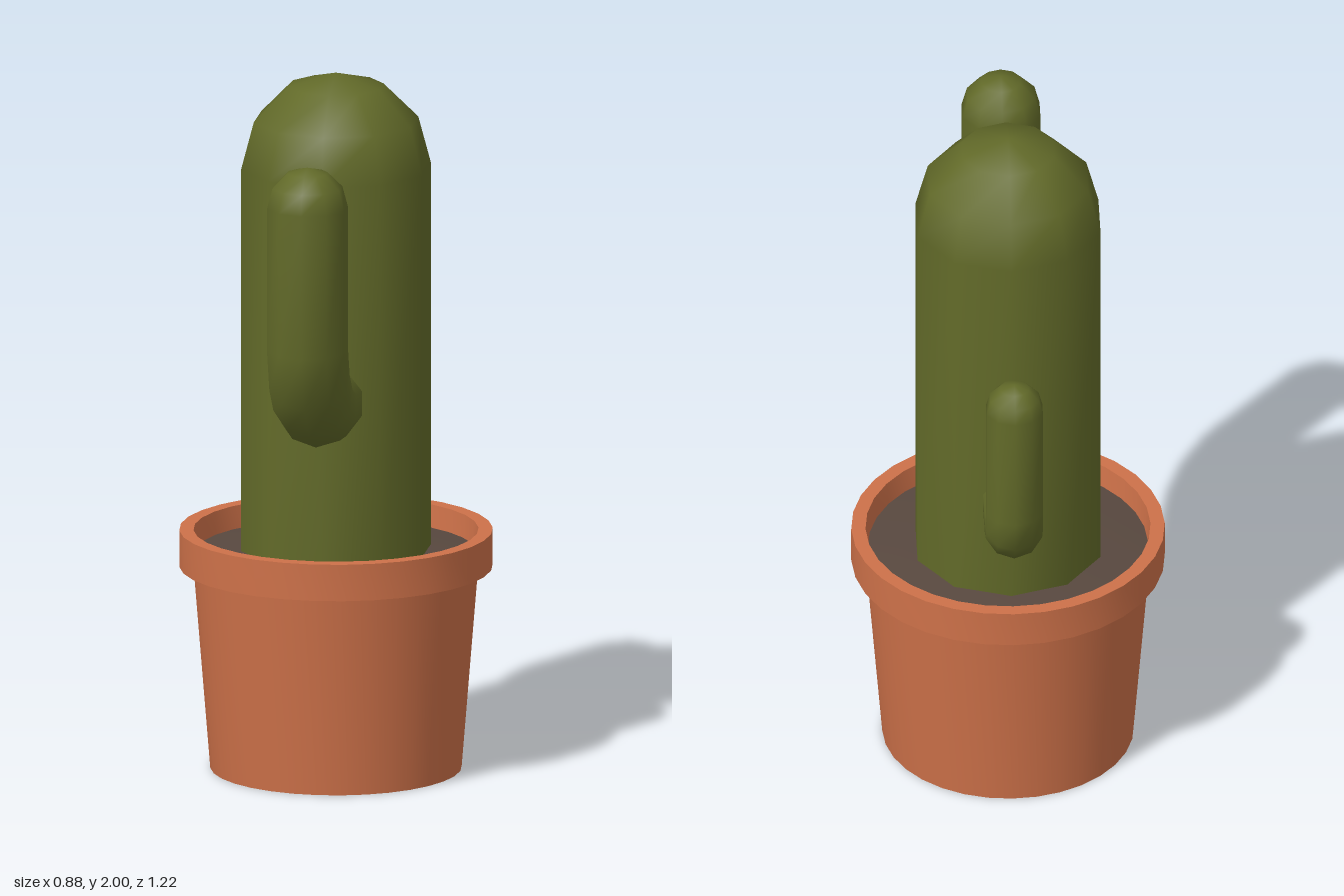
import * as THREE from 'three';
import { toCreasedNormals } from 'three/addons/utils/BufferGeometryUtils.js';

const AXIS_Z = -0.035; // the pot and trunk sit slightly behind the centre

// Sweeps a ten-sided ring along a path of [z, y] points and caps its end with a dome.
function stemGeometry(path, radius, sides = 10) {
  const [endZ, endY] = path[path.length - 1];
  const rings = path.map(([z, y]) => ({ z, y, r: radius }));
  for (const deg of [30, 60]) {
    const a = THREE.MathUtils.degToRad(deg);
    rings.push({ z: endZ, y: endY + radius * Math.sin(a), r: radius * Math.cos(a) });
  }
  const positions = [];
  const index = [];
  rings.forEach((ring, i) => {
    const before = rings[Math.max(i - 1, 0)];
    const after = rings[Math.min(i + 1, rings.length - 1)];
    const tangent = new THREE.Vector2(after.z - before.z, after.y - before.y).normalize();
    for (let j = 0; j < sides; j++) {
      const a = (j / sides) * Math.PI * 2;
      const across = ring.r * Math.cos(a);
      positions.push(ring.r * Math.sin(a), ring.y - across * tangent.x, ring.z + across * tangent.y);
    }
  });
  const tip = rings.length * sides;
  positions.push(0, endY + radius, endZ);
  for (let i = 0; i < rings.length; i++) {
    for (let j = 0; j < sides; j++) {
      const a = i * sides + j;
      const b = i * sides + ((j + 1) % sides);
      if (i === rings.length - 1) index.push(a, b, tip);
      else index.push(a, b, b + sides, a, b + sides, a + sides);
    }
  }
  const geometry = new THREE.BufferGeometry();
  geometry.setAttribute('position', new THREE.Float32BufferAttribute(positions, 3));
  geometry.setIndex(index);
  geometry.computeVertexNormals();
  return geometry;
}

function latheGeometry(points, segments = 32) {
  const profile = points.map(([r, y]) => new THREE.Vector2(r, y));
  return toCreasedNormals(new THREE.LatheGeometry(profile, segments), 0.6);
}

export function createModel() {
  const model = new THREE.Group();
  model.name = 'pottedCactus';

  const green = new THREE.MeshStandardMaterial({ color: 0x626a29 });
  green.name = 'cactusGreen';
  const clay = new THREE.MeshStandardMaterial({ color: 0xcd7149 });
  clay.name = 'terracotta';
  const earth = new THREE.MeshStandardMaterial({ color: 0x58483f });
  earth.name = 'soilBrown';

  const add = (name, geometry, material, z = 0) => {
    const mesh = new THREE.Mesh(geometry, material);
    mesh.name = name;
    mesh.position.z = z;
    model.add(mesh);
  };

  // Tapered pot with an overhanging rim and an inner wall
  add('pot', latheGeometry([
    [0, 0], [0.353, 0], [0.4, 0.58], [0.44, 0.58], [0.44, 0.685], [0.4, 0.685], [0.39, 0.59],
  ]), clay, AXIS_Z);

  // Slightly domed soil
  add('soil', latheGeometry([[0.395, 0.62], [0.3, 0.63], [0, 0.64]]), earth, AXIS_Z);

  // Trunk
  add('trunk', stemGeometry([[0, 0.6], [0, 1.73]], 0.27), green, AXIS_Z);

  // Thick arm curving up in front
  add('frontArm', stemGeometry([
    [0.08, 1.105], [0.2, 1.105], [0.31, 1.118], [0.39, 1.155], [0.455, 1.22], [0.495, 1.33], [0.495, 1.735],
  ], 0.115), green);

  // Thinner, lower arm curving up behind
  add('backArm', stemGeometry([
    [-0.18, 0.935], [-0.29, 0.935], [-0.4, 0.945], [-0.475, 0.975], [-0.515, 1.015], [-0.528, 1.08], [-0.528, 1.417],
  ], 0.083), green);

  return model;
}
